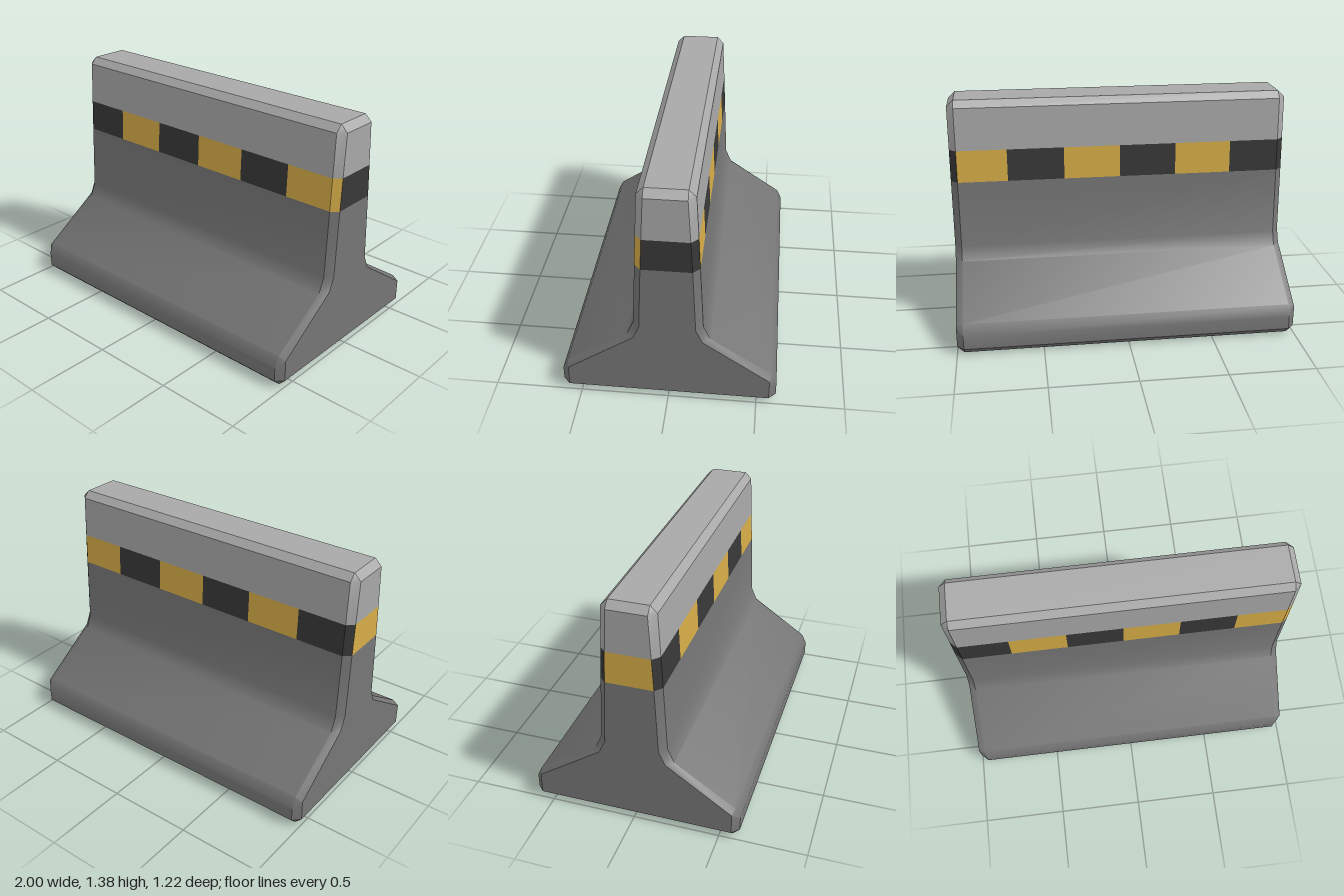
import * as THREE from 'three';
import { toCreasedNormals } from 'three/addons/utils/BufferGeometryUtils.js';

const material = (name, color) => {
  const m = new THREE.MeshStandardMaterial({ color });
  m.name = name;
  return m;
};

// Levels from bottom to top: [end x, side z, side y, end z, end y]
const SIDE_X = 0.96;
const BASE = [
  [0.96, 0.57, 0, 0.57, 0],
  [1, 0.61, 0.04, 0.57, 0.04],
  [1, 0.61, 0.125, 0.57, 0.165],
  [1, 0.58, 0.187, 0.57, 0.165],
  [1, 0.23, 0.42, 0.193, 0.423],
  [1, 0.193, 0.505, 0.155, 0.505],
  [1, 0.174, 0.9, 0.137, 0.9],
];
const BAND = [BASE[6], [1, 0.165, 1.09, 0.127, 1.09]];
const CAP = [BAND[1], [1, 0.152, 1.34, 0.113, 1.34], [0.96, 0.113, 1.38, 0.113, 1.38]];

// Eight corners of one level, counter-clockwise from above, starting at the front
function ring([ex, sz, sy, ez, ey]) {
  return [
    [-SIDE_X, sy, sz], [SIDE_X, sy, sz], [ex, ey, ez], [ex, ey, -ez],
    [SIDE_X, sy, -sz], [-SIDE_X, sy, -sz], [-ex, ey, -ez], [-ex, ey, ez],
  ].map((p) => new THREE.Vector3(...p));
}

// Adds a quad, leaving out collapsed triangles
function addQuad(out, a, b, c, d) {
  for (const t of [[a, b, c], [a, c, d]]) {
    if (new THREE.Triangle(...t).getArea() < 1e-7) continue;
    for (const p of t) out.push(p.x, p.y, p.z);
  }
}

function makeMesh(name, positions, mat) {
  const g = new THREE.BufferGeometry();
  g.setAttribute('position', new THREE.Float32BufferAttribute(positions, 3));
  const mesh = new THREE.Mesh(toCreasedNormals(g, 0.6), mat);
  mesh.name = name;
  return mesh;
}

function loft(levels) {
  const out = [];
  const rings = levels.map(ring);
  for (let k = 0; k + 1 < rings.length; k++) {
    const lo = rings[k], hi = rings[k + 1];
    for (let i = 0; i < 8; i++) {
      const j = (i + 1) % 8;
      addQuad(out, lo[i], lo[j], hi[j], hi[i]);
    }
  }
  return { out, rings };
}

export function createModel() {
  const group = new THREE.Group();
  group.name = 'roadBarrier';
  const concrete = material('concrete', 0x767676);
  const paleConcrete = material('paleConcrete', 0xa8a8a8);
  const yellow = material('yellowPaint', 0xd6ad47);
  const black = material('blackPaint', 0x383838);

  // Flared foot and lower wall, closed underneath
  const base = loft(BASE);
  const b = base.rings[0];
  addQuad(base.out, b[0], b[5], b[4], b[1]);
  group.add(makeMesh('base', base.out, concrete));

  // Bevelled upper wall, closed on top
  const cap = loft(CAP);
  const c = cap.rings[2];
  addQuad(cap.out, c[0], c[1], c[4], c[5]);
  group.add(makeMesh('cap', cap.out, paleConcrete));

  // Warning band: six blocks on each long side, plain ends and corner bevels
  const yellowFaces = [], blackFaces = [];
  const [lo, hi] = BAND.map(ring);
  const stops = [-SIDE_X, -2 / 3, -1 / 3, 0, 1 / 3, 2 / 3, SIDE_X];
  const yellowSides = [1, 6];
  for (let i = 0; i < 8; i++) {
    const j = (i + 1) % 8;
    if (i === 0 || i === 4) {
      for (let s = 0; s < 6; s++) {
        const [x0, x1] = i === 0 ? [stops[s], stops[s + 1]] : [stops[s + 1], stops[s]];
        const at = (p, x) => new THREE.Vector3(x, p.y, p.z);
        addQuad(s % 2 ? yellowFaces : blackFaces, at(lo[i], x0), at(lo[i], x1), at(hi[i], x1), at(hi[i], x0));
      }
    } else {
      addQuad(yellowSides.includes(i) ? yellowFaces : blackFaces, lo[i], lo[j], hi[j], hi[i]);
    }
  }
  group.add(makeMesh('yellowStripes', yellowFaces, yellow));
  group.add(makeMesh('blackStripes', blackFaces, black));
  return group;
}
